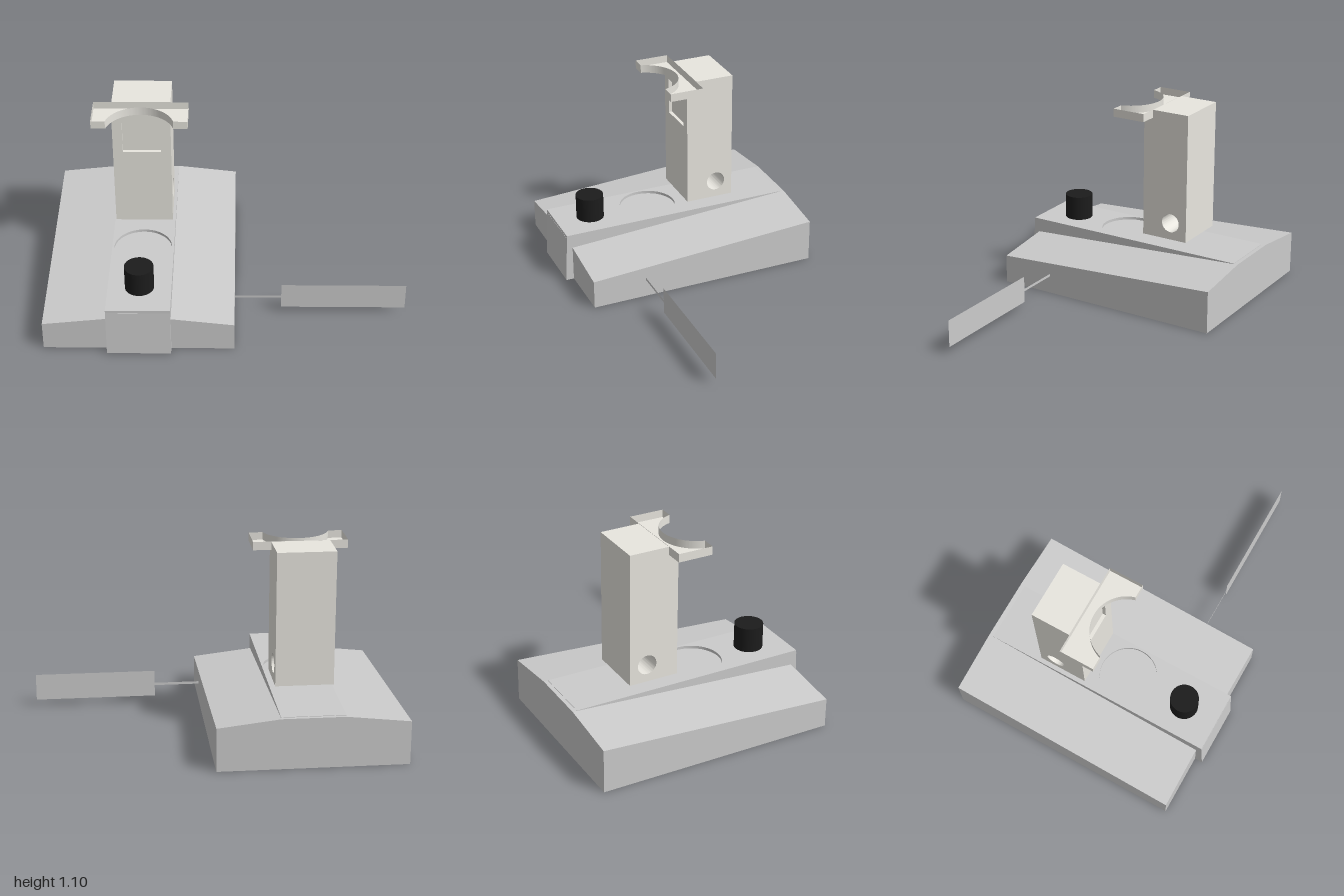
import * as THREE from 'three';
import { toCreasedNormals } from 'three/addons/utils/BufferGeometryUtils.js';

const CX = -0.475; // centre line of the device
const grey = new THREE.MeshStandardMaterial({ color: 0xcccccc });
const greySheet = new THREE.MeshStandardMaterial({ color: 0xcccccc, side: THREE.DoubleSide });
const ivory = new THREE.MeshStandardMaterial({ color: 0xe8e6df });
const ivorySheet = new THREE.MeshStandardMaterial({ color: 0xe8e6df, side: THREE.DoubleSide });
const black = new THREE.MeshStandardMaterial({ color: 0x1c1c1c });

const poly = (pts) => new THREE.Shape(pts.map(([x, y]) => new THREE.Vector2(x, y)));
const circle = (x, y, r) => new THREE.Path().absarc(x, y, r, 0, Math.PI * 2);

function extrude(shape, depth) {
  const g = new THREE.ExtrudeGeometry(shape, { depth, bevelEnabled: false, curveSegments: 48 });
  return toCreasedNormals(g, 0.5);
}
// Side profile given as (z, y), extruded across x
const acrossX = (shape, x0, x1) => extrude(shape, x1 - x0).rotateY(-Math.PI / 2).translate(x1, 0, 0);
// Plan outline given as (x, z), extruded between two heights
const upY = (shape, y0, y1) => extrude(shape, y1 - y0).rotateX(Math.PI / 2).translate(0, y1, 0);

export function createModel() {
  const root = new THREE.Group();
  const add = (name, geometry, material, parent = root) => {
    const m = new THREE.Mesh(geometry, material);
    m.name = name;
    parent.add(m);
    return m;
  };
  const group = (name) => {
    const g = new THREE.Group();
    g.name = name;
    root.add(g);
    return g;
  };

  // Base: ridged cross-section whose top rises evenly towards the back
  const base = group('base');
  const section = poly([[-1, 0], [0.045, 0], [0.045, 0.165], [-0.3, 0.205], [-0.65, 0.205], [-1, 0.165]]);
  const wings = new THREE.ExtrudeGeometry(section, { depth: 1.35, bevelEnabled: false });
  wings.translate(0, 0, -0.695);
  const p = wings.attributes.position;
  for (let i = 0; i < p.count; i++) {
    if (p.getY(i) > 0.01) p.setY(i, p.getY(i) + 0.082 * (0.655 - p.getZ(i)) / 1.35);
  }
  wings.computeVertexNormals();
  add('slopedWings', wings, grey, base);

  // Raised spine with a shallow round recess in its top
  const spine = poly([[-0.67, 0.2], [-0.67, 0.272], [0.687, 0.272], [0.7, 0], [0.6, 0], [0.6, 0.2]].reverse());
  add('spine', acrossX(spine, -0.65, -0.3), grey, base);
  const deck = poly([[-0.65, -0.67], [-0.3, -0.67], [-0.3, 0.686], [-0.65, 0.686]]);
  deck.holes.push(circle(CX, 0.12, 0.163));
  add('spineDeck', upY(deck, 0.272, 0.288), grey, base);

  // Control knob
  add('knob', new THREE.CylinderGeometry(0.08, 0.08, 0.142, 48).translate(CX, 0.359, 0.48), black);

  // Tower: cross hole near the foot, notch at the top for the tray
  const tower = group('tower');
  const side = poly([[-0.352, 0.34], [-0.09, 0.34], [-0.09, 1.05], [-0.127, 1.05], [-0.127, 1.097], [-0.352, 1.097]]);
  side.holes.push(circle(-0.25, 0.44, 0.055));
  add('column', acrossX(side, -0.637, -0.313), ivory, tower);
  const front = poly([[-0.637, 0.34], [-0.313, 0.34], [-0.313, 1.05], [-0.637, 1.05]]);
  front.holes.push(poly([[-0.582, 0.806], [-0.37, 0.806], [-0.37, 1.016], [-0.582, 1.016]]));
  add('recessedFrontPanel', extrude(front, 0.02).translate(0, 0, -0.09), ivory, tower);

  // Tray: thin floor and upright rim, curved in at the front
  const tray = group('tray');
  const outline = new THREE.Shape();
  outline.moveTo(-0.737, -0.125).lineTo(-0.213, -0.125).lineTo(-0.213, 0.072);
  const a = Math.asin(0.048 / 0.19);
  outline.absarc(CX, 0.12, 0.19, -a, -Math.PI + a, true);
  outline.lineTo(-0.737, 0.072).lineTo(-0.737, -0.125);
  add('trayFloor', upY(outline, 1.05, 1.054), ivory, tray);
  const pts = outline.getPoints(32);
  const rim = new THREE.PlaneGeometry(1, 1, pts.length - 1, 1);
  const q = rim.attributes.position;
  for (let i = 0; i < q.count; i++) {
    const v = pts[i % pts.length];
    q.setXYZ(i, v.x, i < pts.length ? 1.097 : 1.05, v.y);
  }
  rim.computeVertexNormals();
  add('trayRim', toCreasedNormals(rim, 0.5), ivorySheet, tray);

  // Flat side tag on a thin strip
  const tag = group('sideTag');
  add('tagStrip', new THREE.PlaneGeometry(0.26, 0.015).translate(0.175, 0.112, 0.343), greySheet, tag);
  add('tagPlate', new THREE.PlaneGeometry(0.695, 0.155).translate(0.6525, 0.117, 0.343), greySheet, tag);

  return root;
}
